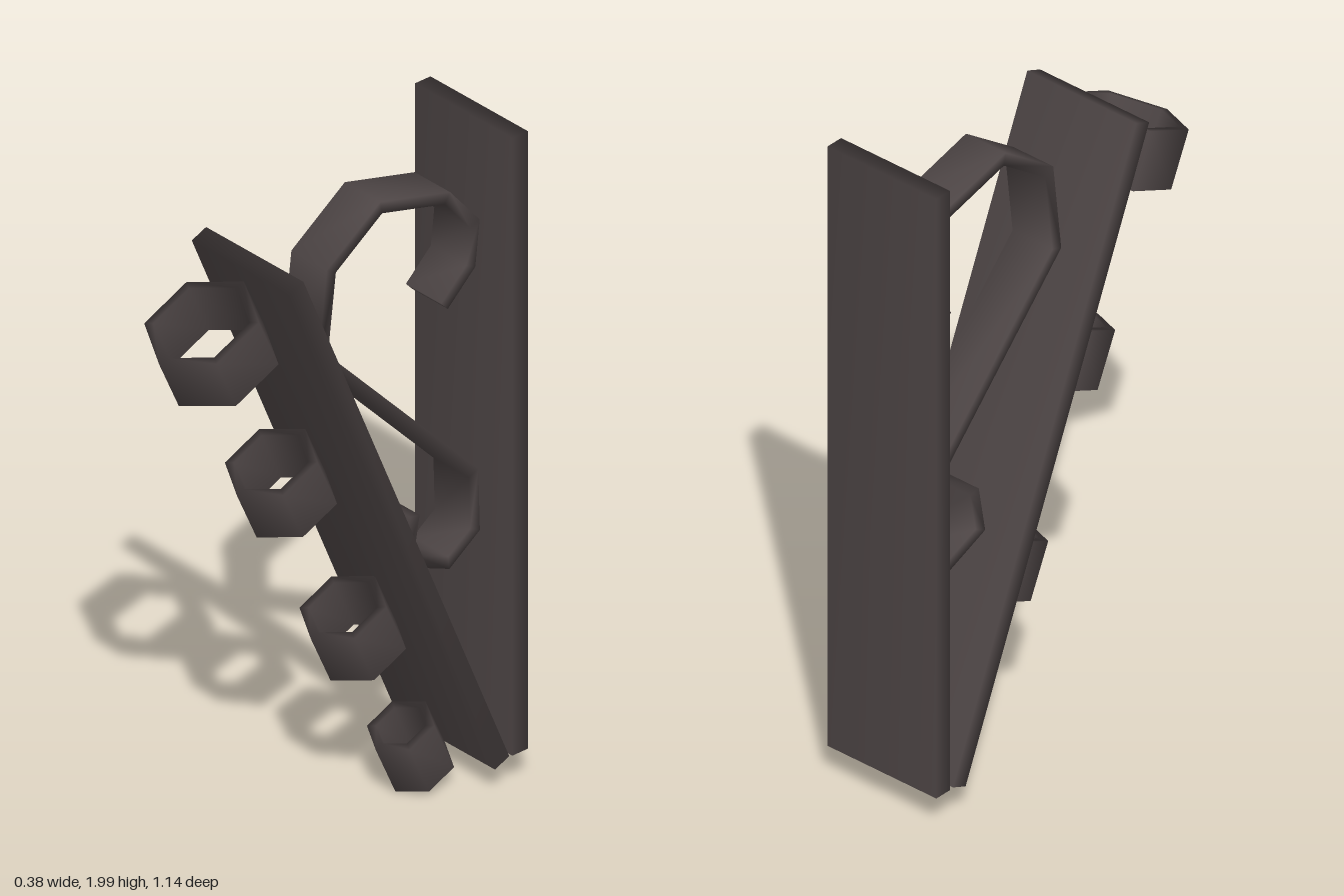
import * as THREE from 'three';
import { mergeVertices } from 'three/addons/utils/BufferGeometryUtils.js';

// Weld shared corners so shading runs smoothly round the edges
function soften(geometry) {
  geometry.deleteAttribute('normal');
  geometry.deleteAttribute('uv');
  geometry.clearGroups();
  const welded = mergeVertices(geometry, 1e-4);
  welded.computeVertexNormals();
  return welded;
}

// Flat strip of constant thickness following a mitred path of [z, y] points
function stripGeometry(path, thickness, width) {
  const pts = path.map(([z, y]) => new THREE.Vector2(z, y));
  const normalOf = (a, b) => {
    const d = b.clone().sub(a).normalize();
    return new THREE.Vector2(-d.y, d.x);
  };
  const left = [], right = [];
  pts.forEach((p, i) => {
    const n1 = normalOf(pts[Math.max(i - 1, 0)], pts[Math.max(i, 1)]);
    const last = pts.length - 1;
    const n2 = normalOf(pts[Math.min(i, last - 1)], pts[Math.min(i + 1, last)]);
    const m = n1.clone().add(n2).normalize();
    m.multiplyScalar(thickness / 2 / m.dot(n1));
    left.push(p.clone().add(m));
    right.unshift(p.clone().sub(m));
  });
  const geometry = new THREE.ExtrudeGeometry(new THREE.Shape([...left, ...right]), {
    depth: width, bevelEnabled: false,
  });
  geometry.translate(0, 0, -width / 2);
  geometry.rotateY(-Math.PI / 2);
  return geometry;
}

// Six-sided open ring with a corner facing forward
function ringGeometry(radius, wall, height) {
  const h = height / 2, inner = radius - wall;
  const profile = [[radius, -h], [radius, h], [inner, h], [inner, -h], [radius, -h]];
  return new THREE.LatheGeometry(profile.map(([r, y]) => new THREE.Vector2(r, y)), 6);
}

export function createModel() {
  const group = new THREE.Group();
  const iron = new THREE.MeshStandardMaterial({ color: 0x4d4545 });
  iron.name = 'darkIron';

  const add = (name, geometry, y = 0, z = 0, tilt = 0) => {
    const mesh = new THREE.Mesh(soften(geometry), iron);
    mesh.name = name;
    mesh.position.set(0, y, z);
    mesh.rotation.x = tilt;
    group.add(mesh);
  };

  // Upright back plate and leaning front plate
  add('backPlate', new THREE.BoxGeometry(0.385, 1.89, 0.055), 1.055, -0.538);
  add('leaningPlate', new THREE.BoxGeometry(0.385, 1.885, 0.055), 0.971, -0.109, 0.398);

  // Curled brace between the plates
  add('scrollBrace', stripGeometry([
    [-0.38, 1.483], [-0.473, 1.57], [-0.487, 1.695], [-0.39, 1.81], [-0.155, 1.873],
    [0.022, 1.747], [0.052, 1.49], [-0.483, 0.932], [-0.488, 0.758], [-0.395, 0.692],
    [-0.252, 0.752], [-0.275, 0.882],
  ], 0.034, 0.14));

  // Holder rings, shrinking towards the bottom: [radius, y, z]
  [
    [0.165, 1.637, 0.385],
    [0.133, 1.114, 0.138],
    [0.125, 0.57, -0.117],
    [0.097, 0.128, -0.322],
  ].forEach(([radius, y, z], i) => {
    add(`holderRing${i + 1}`, ringGeometry(radius, 0.026, 0.17), y, z, 0.424);
  });

  return group;
}
